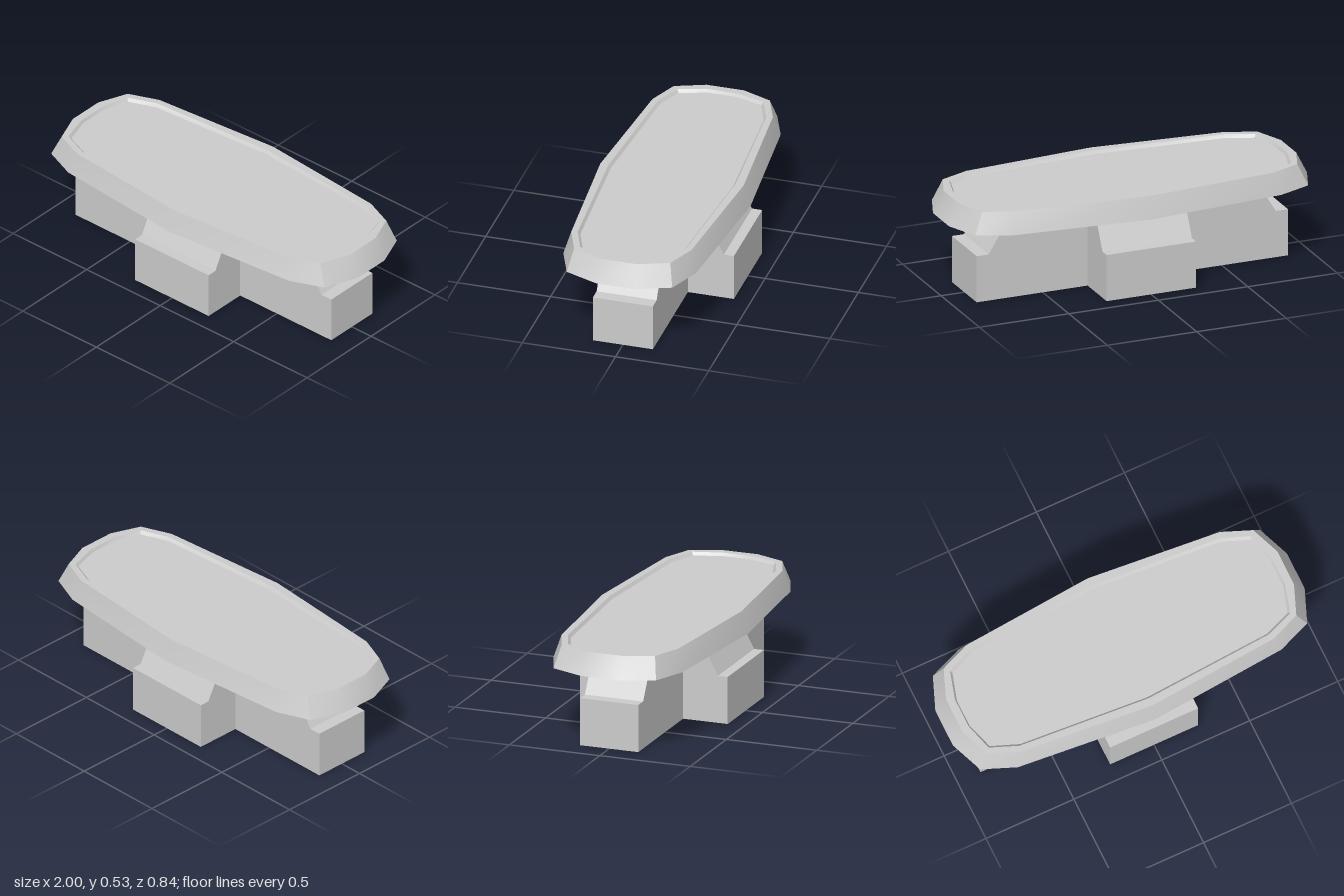
import * as THREE from 'three';
import { toCreasedNormals } from 'three/addons/utils/BufferGeometryUtils.js';

const material = new THREE.MeshStandardMaterial({ color: 0xcccccc });
const flatMaterial = new THREE.MeshStandardMaterial({ color: 0xcccccc, flatShading: true });

const STEP_Y = 0.253, TOP_Y = 0.417, RIM_Y = 0.532;

function addMesh(parent, name, geometry, mat) {
  const mesh = new THREE.Mesh(geometry, mat);
  mesh.name = name;
  parent.add(mesh);
}

// Extrude a profile symmetrically about its plane
function extrude(points, depth) {
  const shape = new THREE.Shape(points.map(([x, y]) => new THREE.Vector2(x, y)));
  return new THREE.ExtrudeGeometry(shape, { depth, bevelEnabled: false }).translate(0, 0, -depth / 2);
}

// Mirror one quarter of an outline into a closed ring at height y
function ring(y, quarter) {
  const half = [...quarter, ...quarter.slice(0, -1).reverse().map(([x, z]) => [-x, z])];
  const full = [...half, ...half.map(([x, z]) => [-x, -z])];
  return full.map(([x, z]) => [x, y, z]);
}

// Join rings from the bottom upward and inward, closing both ends
function loft(rings) {
  const pos = [];
  const tri = (...corners) => corners.forEach((c) => pos.push(...c));
  const n = rings[0].length;
  const last = rings[rings.length - 1];
  const bottom = [0, rings[0][0][1], 0], top = [0, last[0][1], 0];
  for (let i = 0; i < n; i++) {
    const k = (i + 1) % n;
    tri(bottom, rings[0][i], rings[0][k]);
    for (let r = 0; r < rings.length - 1; r++) {
      const a = rings[r], b = rings[r + 1];
      tri(a[i], b[i], a[k]);
      tri(a[k], b[i], b[k]);
    }
    tri(last[i], top, last[k]);
  }
  const geometry = new THREE.BufferGeometry();
  geometry.setAttribute('position', new THREE.Float32BufferAttribute(pos, 3));
  return toCreasedNormals(geometry, 0.55);
}

export function createModel() {
  const model = new THREE.Group();
  model.name = 'pedestal';

  // Long arm of the cross-shaped base, stepped and sloped at both ends
  const end = [[0.87, 0], [0.87, STEP_Y], [0.803, STEP_Y], [0.702, TOP_Y]];
  const mirrored = end.map(([x, y]) => [-x, y]).reverse();
  addMesh(model, 'longBaseArm', extrude([...end, ...mirrored], 0.322), flatMaterial);

  // Short arms at the front and back
  const arm = [[0.161, 0], [0.408, 0], [0.408, STEP_Y], [0.354, STEP_Y], [0.268, TOP_Y], [0.161, TOP_Y]];
  for (const [name, turn] of [['frontBaseArm', 0], ['backBaseArm', Math.PI]]) {
    addMesh(model, name, extrude(arm, 0.5).rotateY(-Math.PI / 2 + turn), flatMaterial);
  }

  // Tapered tray with a raised rim and a shallow recess
  addMesh(model, 'trayTop', loft([
    ring(TOP_Y, [[1, 0.105], [0.93, 0.283], [0.75, 0.356], [0, 0.422]]),
    ring(RIM_Y, [[0.942, 0.1], [0.88, 0.258], [0.72, 0.323], [0, 0.385]]),
    ring(RIM_Y, [[0.9, 0.08], [0.857, 0.232], [0.71, 0.291], [0, 0.341]]),
    ring(RIM_Y - 0.016, [[0.892, 0.075], [0.847, 0.222], [0.7, 0.279], [0, 0.328]]),
  ]), material);

  return model;
}
